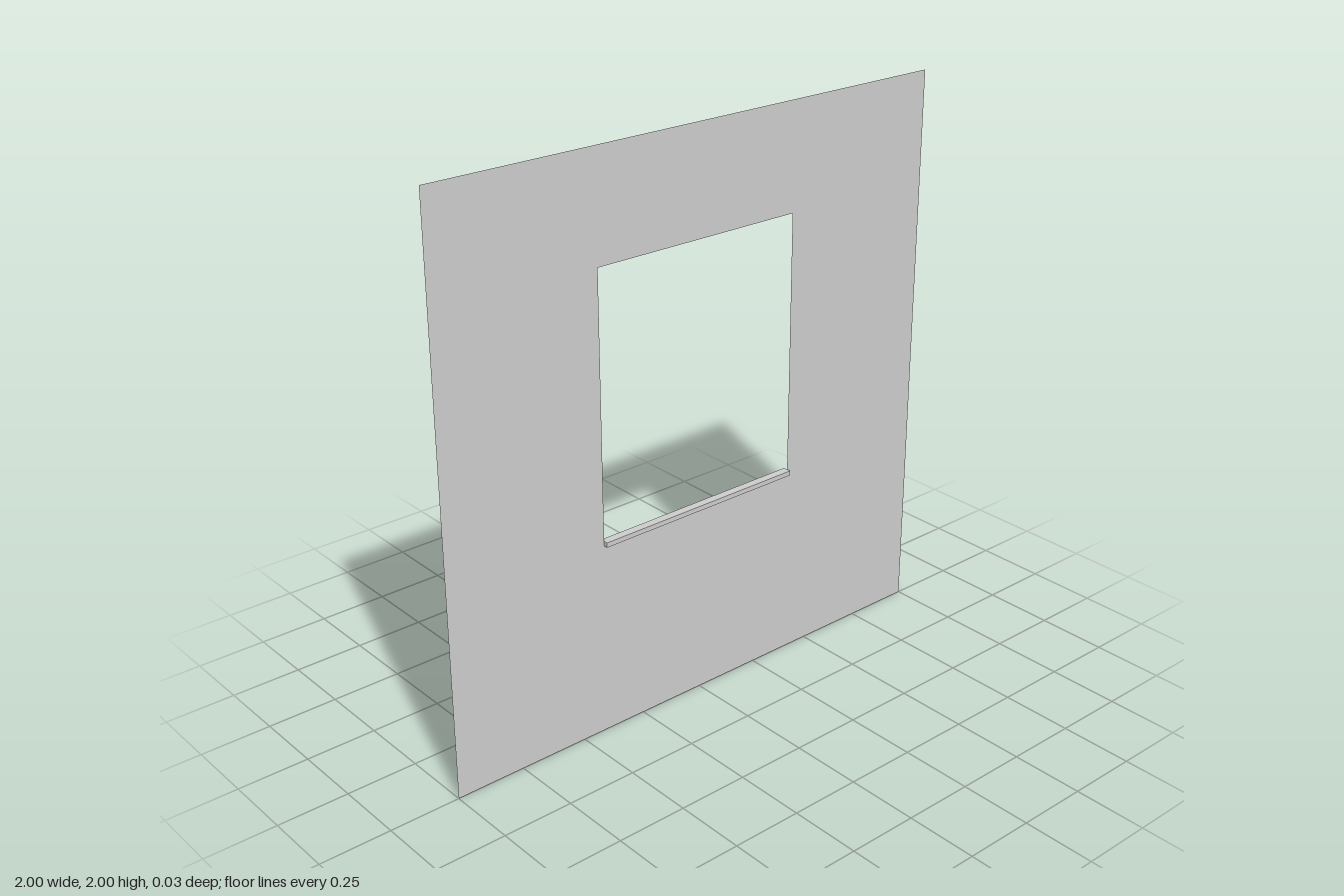
import * as THREE from 'three';

export function createModel() {
  const group = new THREE.Group();
  const grey = new THREE.MeshStandardMaterial({ color: 0xcccccc, side: THREE.DoubleSide });
  const halfOpening = 0.4, openingBottom = 0.705, openingTop = 1.625;
  const sillHeight = 0.017, sillDepth = 0.03;

  // Paper-thin square wall with a window opening
  const outline = new THREE.Shape([
    new THREE.Vector2(-1, 0), new THREE.Vector2(1, 0),
    new THREE.Vector2(1, 2), new THREE.Vector2(-1, 2),
  ]);
  outline.holes.push(new THREE.Path([
    new THREE.Vector2(-halfOpening, openingBottom), new THREE.Vector2(-halfOpening, openingTop),
    new THREE.Vector2(halfOpening, openingTop), new THREE.Vector2(halfOpening, openingBottom),
  ]));
  const wall = new THREE.Mesh(new THREE.ShapeGeometry(outline), grey);
  wall.name = 'wall';
  group.add(wall);

  // Slim sill straddling the wall, its top level with the opening
  const sill = new THREE.Mesh(new THREE.BoxGeometry(2 * halfOpening, sillHeight, sillDepth), grey);
  sill.name = 'windowSill';
  sill.position.y = openingBottom - sillHeight / 2;
  group.add(sill);

  return group;
}
